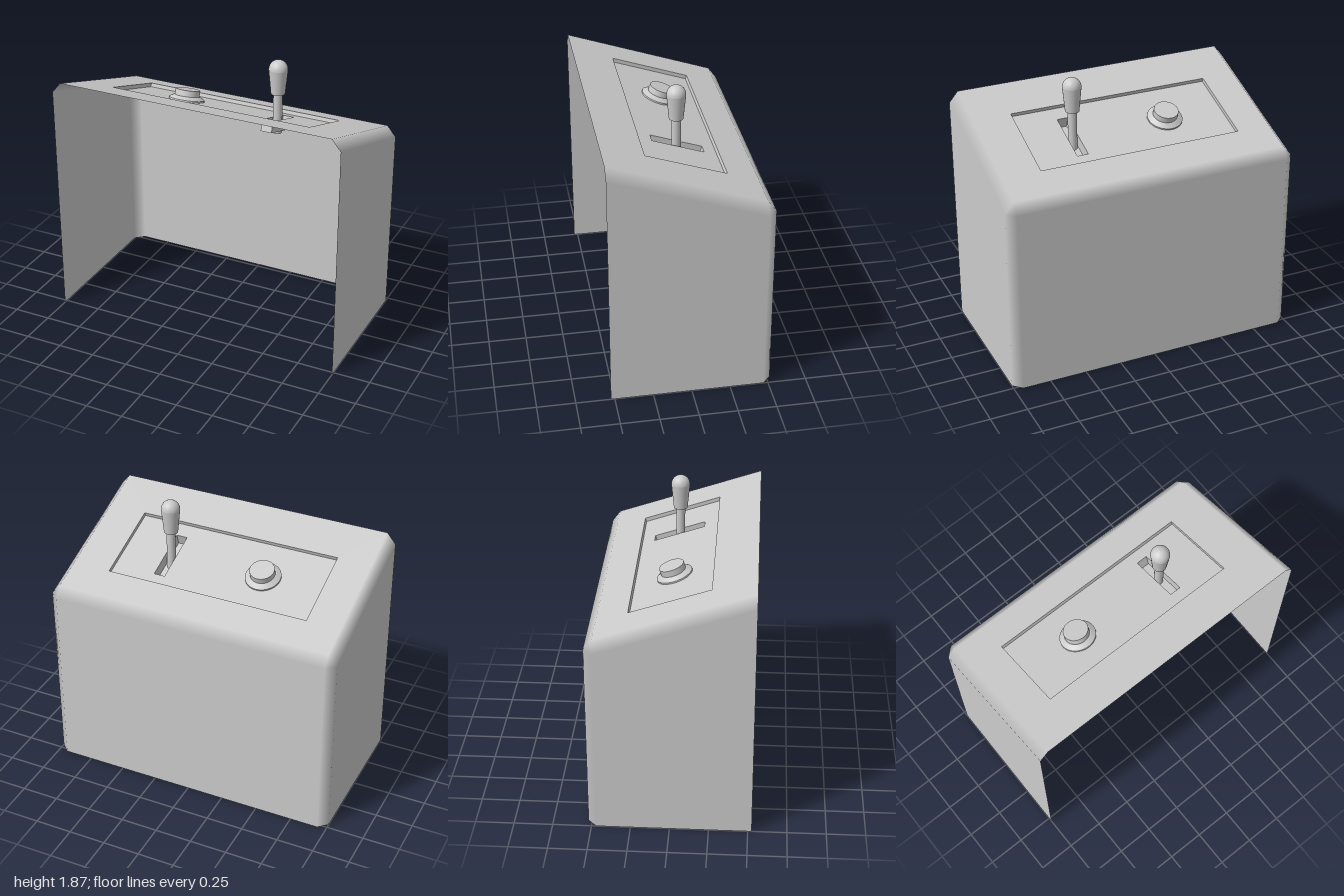
import * as THREE from 'three';
import { mergeGeometries } from 'three/addons/utils/BufferGeometryUtils.js';

const TILT = 0.325, SIN = Math.sin(TILT), COS = Math.cos(TILT);
const DECK_Y = 1.493;                        // deck height at z = 0
const deckAt = z => DECK_Y + z * Math.tan(TILT);
const grey = new THREE.MeshStandardMaterial({ color: 0xcccccc, side: THREE.DoubleSide });

function mesh(name, geometry) {
  const m = new THREE.Mesh(geometry, grey);
  m.name = name;
  return m;
}

// Polygon (3 or 4 corners) with one normal per corner, wound to face those normals
function face(points, normals) {
  let p = points.map(a => new THREE.Vector3(...a));
  let n = normals.map(a => new THREE.Vector3(...a).normalize());
  const dir = p[1].clone().sub(p[0]).cross(p[2].clone().sub(p[0]));
  if (dir.dot(n[0].clone().add(n[1]).add(n[2])) < 0) { p.reverse(); n.reverse(); }
  const order = p.length === 4 ? [0, 1, 2, 0, 2, 3] : [0, 1, 2];
  const g = new THREE.BufferGeometry();
  g.setAttribute('position', new THREE.Float32BufferAttribute(order.flatMap(i => p[i].toArray()), 3));
  g.setAttribute('normal', new THREE.Float32BufferAttribute(order.flatMap(i => n[i].toArray()), 3));
  return g;
}
const flat = (points, normal) => face(points, points.map(() => normal));

// Flat horizontal rectangle with optional rectangular hole; rects are [x0, x1, z0, z1]
function plate(r, hole) {
  const corners = ([x0, x1, z0, z1]) => [[x0, -z0], [x1, -z0], [x1, -z1], [x0, -z1]].map(c => new THREE.Vector2(...c));
  const shape = new THREE.Shape(corners(r));
  if (hole) shape.holes.push(new THREE.Path(corners(hole)));
  return new THREE.ShapeGeometry(shape).rotateX(-Math.PI / 2);
}

// Four thin walls around a rectangle, from height a down to b, facing inward
function walls([x0, x1, z0, z1], a, b) {
  return mergeGeometries([
    flat([[x0, a, z0], [x1, a, z0], [x1, b, z0], [x0, b, z0]], [0, 0, 1]),
    flat([[x0, a, z1], [x1, a, z1], [x1, b, z1], [x0, b, z1]], [0, 0, -1]),
    flat([[x0, a, z0], [x0, a, z1], [x0, b, z1], [x0, b, z0]], [1, 0, 0]),
    flat([[x1, a, z0], [x1, a, z1], [x1, b, z1], [x1, b, z0]], [-1, 0, 0]),
  ]);
}

const lathe = (pts, segments = 32) => new THREE.LatheGeometry(pts.map(p => new THREE.Vector2(...p)), segments);

export function createModel() {
  const root = new THREE.Group();
  root.name = 'controlConsole';

  // Shell: back and side walls with softly shaded bevels, open at front and bottom
  const F = 0.525, B = -0.525, b = -0.47, X = 1, x = 0.94;
  const topF = deckAt(F), topB = deckAt(b), drop = 0.072;
  const up = [0, COS, -SIN], back = [0, 0, -1];
  root.add(mesh('backWall', flat([[-x, 0, B], [x, 0, B], [x, topB - drop, B], [-x, topB - drop, B]], back)));
  root.add(mesh('backTopBevel', face(
    [[-x, topB - drop, B], [x, topB - drop, B], [x, topB, b], [-x, topB, b]], [back, back, up, up])));
  for (const s of [1, -1]) {
    const side = [s, 0, 0], label = s > 0 ? 'left' : 'right';
    root.add(mesh(label + 'Wall', flat(
      [[s * X, 0, F], [s * X, 0, b], [s * X, topB - drop, b], [s * X, topF - drop, F]], side)));
    root.add(mesh(label + 'Bevels', mergeGeometries([
      face([[s * X, topF - drop, F], [s * X, topB - drop, b], [s * x, topB, b], [s * x, topF, F]], [side, side, up, up]),
      face([[s * X, 0, b], [s * X, topB - drop, b], [s * x, topB - drop, B], [s * x, 0, B]], [side, side, back, back]),
      face([[s * X, topB - drop, b], [s * x, topB - drop, B], [s * x, topB, b]], [side, back, up]),
    ])));
  }

  // Sloping deck, built flat in its own tilted frame
  const deck = new THREE.Group();
  deck.name = 'deck';
  deck.position.y = DECK_Y;
  deck.rotation.x = -TILT;
  root.add(deck);

  const recess = [-0.71, 0.68, -0.285, 0.258], recessY = -0.026;
  const slot = [0.32, 0.395, -0.198, 0.155], slotY = -0.102;
  deck.add(mesh('deckTop', plate([-x, x, b / COS, F / COS], recess)));
  deck.add(mesh('recessWalls', walls(recess, 0, recessY)));
  const floor = mesh('recessFloor', plate(recess, slot));
  floor.position.y = recessY;
  deck.add(floor);
  deck.add(mesh('slotWalls', walls(slot, recessY, slotY)));
  const slotFloor = mesh('slotFloor', plate(slot));
  slotFloor.position.y = slotY;
  deck.add(slotFloor);

  // Push button: flared collar that also shows under the deck, and a round cap
  const button = new THREE.Group();
  button.name = 'button';
  button.position.set(-0.302, recessY, -0.014);
  button.add(mesh('collarSkirt', lathe([[0.118, -0.018], [0.118, 0.01]])));
  button.add(mesh('collar', lathe([[0.118, 0.01], [0.088, 0.03]])));
  button.add(mesh('collarLip', lathe([[0.088, 0.03], [0.08, 0.03]])));
  button.add(mesh('cap', new THREE.CylinderGeometry(0.082, 0.082, 0.045, 32).translate(0, 0.0485, 0)));
  deck.add(button);

  // Upright lever with a tapered, dome-topped grip
  const lever = new THREE.Group();
  lever.name = 'lever';
  lever.position.set(0.355, 0, -0.006);
  lever.add(mesh('shaft', new THREE.CylinderGeometry(0.03, 0.03, 0.28, 24).translate(0, 1.505, 0)));
  lever.add(mesh('gripBase', lathe([[0, 1.64], [0.046, 1.64]])));
  lever.add(mesh('grip', lathe([[0.046, 1.64], [0.062, 1.806]])));
  const dome = [];
  for (let i = 0; i <= 8; i++) {
    const a = i / 8 * Math.PI / 2;
    dome.push([0.062 * Math.cos(a), 1.806 + 0.062 * Math.sin(a)]);
  }
  lever.add(mesh('gripDome', lathe(dome)));
  root.add(lever);

  return root;
}
